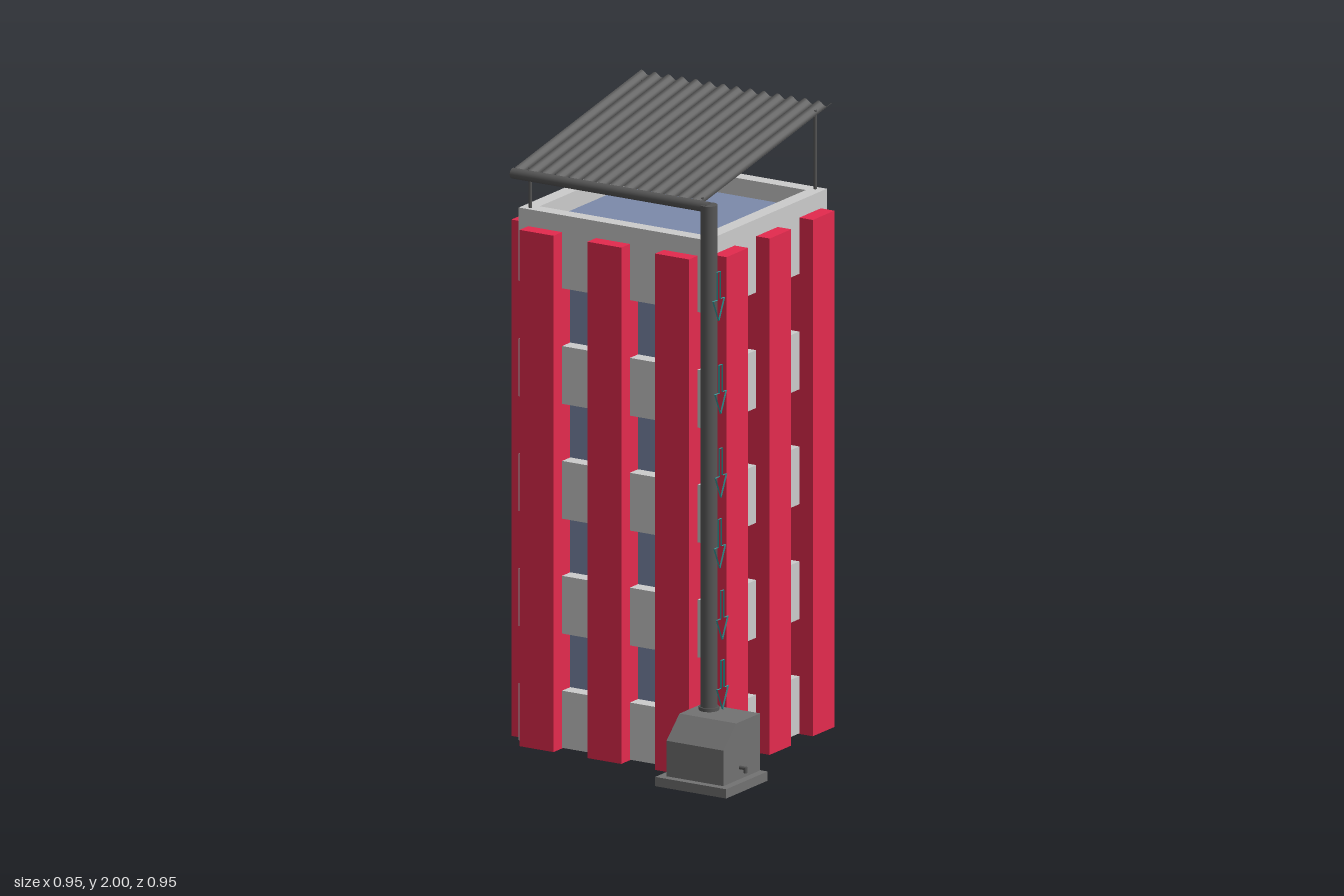
import * as THREE from 'three';

const mat = (color, double) => new THREE.MeshStandardMaterial({ color, side: double ? THREE.DoubleSide : THREE.FrontSide });
const grey = mat(0xcccccc), red = mat(0xe42a4e), blue = mat(0x7c8aaa), dark = mat(0x565656);
const sheetMat = mat(0x505050, true), tankMat = mat(0x727272), teal = mat(0x35a0a0, true);

function add(parent, name, geometry, material, x = 0, y = 0, z = 0) {
  const mesh = new THREE.Mesh(geometry, material);
  mesh.name = name;
  mesh.position.set(x, y, z);
  parent.add(mesh);
  return mesh;
}

// Square ring with its outer face at half-width `outer`
function frame(outer, inner, height) {
  const square = (path, s) => path.moveTo(-s, -s).lineTo(s, -s).lineTo(s, s).lineTo(-s, s).closePath();
  const shape = square(new THREE.Shape(), outer);
  shape.holes.push(square(new THREE.Path(), inner));
  return new THREE.ExtrudeGeometry(shape, { depth: height, bevelEnabled: false }).rotateX(-Math.PI / 2);
}

// Tower: window core, floor bands, parapet and facade columns
function buildTower() {
  const tower = new THREE.Group();
  tower.name = 'tower';
  tower.position.set(-0.0775, 0, -0.0775);
  add(tower, 'windowCore', new THREE.BoxGeometry(0.6, 1.67, 0.6), blue, 0, 0.835, 0);
  for (let i = 0; i < 4; i++) {
    const y = i ? i * 0.372 : 0.002;
    add(tower, 'floorBand', frame(0.3475, 0.3, i * 0.372 + 0.187 - y), grey, 0, y, 0);
  }
  add(tower, 'parapet', frame(0.3475, 0.3, 0.237), grey, 0, 1.49, 0);
  for (let side = 0; side < 4; side++) {
    const face = new THREE.Group();
    face.name = 'facadeColumns';
    face.rotation.y = side * Math.PI / 2;
    for (const x of [-0.25, 0, 0.25])
      add(face, 'column', new THREE.BoxGeometry(0.125, 1.672, 0.0965), red, x, 0.836, 0.349);
    tower.add(face);
  }
  return tower;
}

// Sloping corrugated canopy on four posts
function buildCanopy() {
  const canopy = new THREE.Group();
  canopy.name = 'canopy';
  const sheet = new THREE.PlaneGeometry(0.705, 0.747, 168, 1).rotateX(-Math.PI / 2);
  const p = sheet.attributes.position;
  for (let i = 0; i < p.count; i++)
    p.setY(i, 0.008 * Math.cos((p.getX(i) / 0.705 + 0.5) * 14 * Math.PI * 2));
  sheet.computeVertexNormals();
  const roof = add(canopy, 'corrugatedSheet', sheet, sheetMat, -0.0775, 1.922, -0.083);
  roof.rotation.x = Math.atan2(0.14, 0.73);
  for (const x of [-0.395, 0.24])
    for (const [z, top] of [[-0.405, 1.982], [0.25, 1.857]])
      add(canopy, 'post', new THREE.CylinderGeometry(0.006, 0.006, top - 1.67, 10), dark, x, (top + 1.67) / 2, z);
  return canopy;
}

// Gutter and downpipe
function buildDrain() {
  const drain = new THREE.Group();
  drain.name = 'drain';
  const gutter = add(drain, 'gutter', new THREE.CylinderGeometry(0.017, 0.017, 0.725, 20), dark, -0.0725, 1.842, 0.29);
  gutter.rotation.z = Math.PI / 2;
  add(drain, 'downpipe', new THREE.CylinderGeometry(0.027, 0.027, 1.65, 24), dark, 0.288, 1.025, 0.287);
  add(drain, 'pipeCollar', new THREE.CylinderGeometry(0.032, 0.032, 0.012, 24), dark, 0.288, 0.22, 0.287);
  return drain;
}

// Collecting tank with sloping front, base plate and tap
function buildTank() {
  const tank = new THREE.Group();
  tank.name = 'tank';
  add(tank, 'basePlate', new THREE.BoxGeometry(0.262, 0.03, 0.24), tankMat, 0.34, 0.015, 0.355);
  const profile = new THREE.Shape([[-0.238, 0.03], [-0.238, 0.215], [-0.375, 0.215], [-0.45, 0.145], [-0.45, 0.03]]
    .map(([z, y]) => new THREE.Vector2(z, y)));
  const body = new THREE.ExtrudeGeometry(profile, { depth: 0.21, bevelEnabled: false }).rotateY(Math.PI / 2);
  add(tank, 'tankBody', body, tankMat, 0.235, 0, 0);
  const spout = add(tank, 'tapPipe', new THREE.CylinderGeometry(0.006, 0.006, 0.026, 12), dark, 0.457, 0.068, 0.355);
  spout.rotation.z = Math.PI / 2;
  add(tank, 'tapSpout', new THREE.CylinderGeometry(0.006, 0.006, 0.018, 12), dark, 0.466, 0.062, 0.355);
  return tank;
}

// Thin open outline of a downward arrow, as a ribbon
function arrowOutline() {
  const outline = [[0, -0.075], [0.033, -0.005], [0.009, -0.005], [0.009, 0.085],
    [-0.009, 0.085], [-0.009, -0.005], [-0.033, -0.005], [0, -0.075]];
  const points = [];
  for (let i = 0; i < outline.length - 1; i++) {
    const [z0, y0] = outline[i], [z1, y1] = outline[i + 1], w = 0.003;
    points.push(-w, y0, z0, w, y0, z0, w, y1, z1, -w, y0, z0, w, y1, z1, -w, y1, z1);
  }
  const geometry = new THREE.BufferGeometry();
  geometry.setAttribute('position', new THREE.Float32BufferAttribute(points, 3));
  geometry.computeVertexNormals();
  return geometry;
}

export function createModel() {
  const model = new THREE.Group();
  model.name = 'rainwaterTower';
  model.add(buildTower(), buildCanopy(), buildDrain(), buildTank());
  // Flow arrows beside the downpipe
  const arrow = arrowOutline();
  for (const [x, y] of [[0.327, 1.555], [0.334, 1.255], [0.335, 0.985], [0.331, 0.755], [0.34, 0.525], [0.341, 0.3]])
    add(model, 'flowArrow', arrow, teal, x, y, 0.292);
  return model;
}
